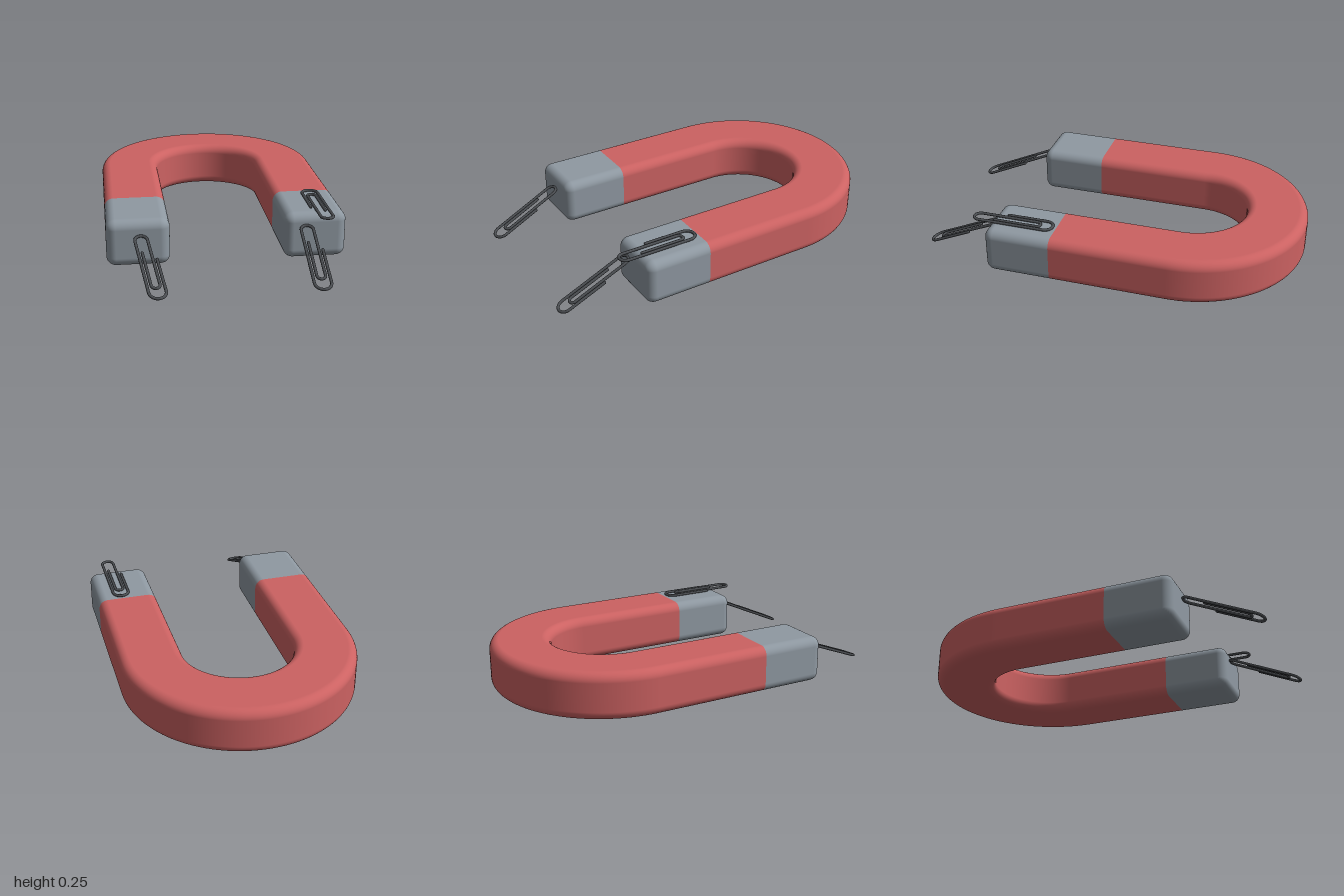
import * as THREE from 'three';

const TILT = 0.384;            // heading of the magnet's legs, 22 degrees
const BEND = { x: -0.155, z: -0.4, r: 0.4425 };
const HALF_W = 0.1575, HALF_H = 0.12, ROUND = 0.047;
const SEAM = 0.601, TIP = 0.948; // distances down each leg from the bend

const mat = (name, color) => {
  const m = new THREE.MeshStandardMaterial({ color });
  m.name = name;
  return m;
};

// Rounded rectangle: core corner plus outward normal for every point
function sectionPoints(steps = 8) {
  const pts = [];
  const signs = [[1, 1], [-1, 1], [-1, -1], [1, -1]];
  signs.forEach(([sx, sy], q) => {
    for (let i = 0; i <= steps; i++) {
      const a = (q + i / steps) * Math.PI / 2;
      pts.push({
        cx: sx * (HALF_W - ROUND), cy: sy * (HALF_H - ROUND),
        nx: Math.cos(a), ny: Math.sin(a)
      });
    }
  });
  pts.push(pts[0]);
  return pts;
}

// Sweep the section through stations: turn = position round the bend (0..PI),
// along = distance down the leg, phi = end rounding angle, k = core scale
function sweep(stations) {
  const section = sectionPoints(), n = section.length;
  const pos = [], nor = [], idx = [];
  const legX = Math.sin(TILT), legZ = Math.cos(TILT);
  stations.forEach(({ turn, along, phi = 0, k = 1 }) => {
    const a = Math.PI - turn + TILT;
    const ox = Math.cos(a), oz = -Math.sin(a);
    const tx = -oz, tz = ox;
    const c = Math.cos(phi), s = Math.sin(phi);
    for (const p of section) {
      const w = p.cx * k + p.nx * ROUND * c + BEND.r;
      pos.push(BEND.x + ox * w + legX * along,
        HALF_H + p.cy * k + p.ny * ROUND * c,
        BEND.z + oz * w + legZ * along);
      nor.push(ox * p.nx * c + tx * s, p.ny * c, oz * p.nx * c + tz * s);
    }
  });
  for (let i = 0; i < stations.length - 1; i++) {
    for (let j = 0; j < n - 1; j++) {
      const a = i * n + j, b = a + 1, d = a + n;
      idx.push(a, b, d, b, d + 1, d);
    }
  }
  const g = new THREE.BufferGeometry();
  g.setAttribute('position', new THREE.Float32BufferAttribute(pos, 3));
  g.setAttribute('normal', new THREE.Float32BufferAttribute(nor, 3));
  g.setIndex(idx);
  return g;
}

function bodyGeometry() {
  const stations = [{ turn: 0, along: SEAM }];
  for (let i = 0; i <= 64; i++) stations.push({ turn: i / 64 * Math.PI, along: 0 });
  stations.push({ turn: Math.PI, along: SEAM });
  return sweep(stations);
}

// Pole with a rounded tip and flat end; side = 1 is the model's left leg
function poleGeometry(side) {
  const turn = side > 0 ? Math.PI : 0;
  const stations = [{ turn, along: SEAM }];
  for (let i = 0; i <= 8; i++) {
    const phi = i / 8 * Math.PI / 2;
    stations.push({ turn, along: TIP - ROUND + ROUND * Math.sin(phi), phi: side * phi });
  }
  stations.push({ turn, along: TIP, phi: side * Math.PI / 2, k: 0 });
  if (side < 0) stations.reverse();
  return sweep(stations);
}

// Bent wire lying flat, wide end at the origin, length along +z
function paperClip(material) {
  const WIRE = 0.0075, pts = [];
  const add = (x, z) => pts.push(new THREE.Vector3(x, 0, z));
  const line = (x, z0, z1) => {
    for (let i = 1; i < 8; i++) add(x, z0 + (z1 - z0) * i / 8);
  };
  const arc = (cx, cz, rx, dir) => { // from cx - rx to cx + rx, bulging along dir
    for (let i = 0; i <= 12; i++) {
      const a = i / 12 * Math.PI;
      add(cx - rx * Math.cos(a), cz + dir * Math.abs(rx) * Math.sin(a));
    }
  };
  add(-0.041, 0.21);
  line(-0.041, 0.21, 0);
  arc(0, 0, 0.041, -1);
  line(0.041, 0, 0.348);
  arc(0.01, 0.348, -0.031, 1);
  line(-0.021, 0.348, 0.045);
  arc(0, 0.045, 0.021, -1);
  line(0.021, 0.045, 0.263);
  add(0.021, 0.263);

  const clip = new THREE.Group();
  const curve = new THREE.CatmullRomCurve3(pts);
  curve.arcLengthDivisions = 800;
  const wire = new THREE.Mesh(new THREE.TubeGeometry(curve, 200, WIRE, 10), material);
  wire.name = 'clipWire';
  clip.add(wire);
  for (const p of [pts[0], pts[pts.length - 1]]) {
    const end = new THREE.Mesh(new THREE.SphereGeometry(WIRE, 10, 8), material);
    end.position.copy(p);
    end.name = 'clipWireEnd';
    clip.add(end);
  }
  return clip;
}

export function createModel() {
  const red = mat('red paint', 0xcc6262);
  const steel = mat('pole steel', 0x8f99a2);
  const wire = mat('dark wire', 0x4a4d51);
  const model = new THREE.Group();
  model.name = 'horseshoeMagnet';

  const addMesh = (name, geometry, material) => {
    const m = new THREE.Mesh(geometry, material);
    m.name = name;
    model.add(m);
  };
  addMesh('magnetBody', bodyGeometry(), red);
  addMesh('leftPole', poleGeometry(1), steel);
  addMesh('rightPole', poleGeometry(-1), steel);

  // One clip lying on the left pole, two leaning against the tips
  const clips = [
    ['topClip', 0.528, 0.247, 0.035, TILT, 0],
    ['leftLeaningClip', 0.702, 0.025, 0.65, TILT + Math.PI, 0.42],
    ['rightLeaningClip', -0.016, 0.024, 0.945, 0.524 + Math.PI, 0.38]
  ];
  for (const [name, x, y, z, heading, lean] of clips) {
    const clip = paperClip(wire);
    clip.name = name;
    clip.position.set(x, y, z);
    clip.rotation.set(-lean, heading, 0, 'YXZ');
    model.add(clip);
  }
  return model;
}
